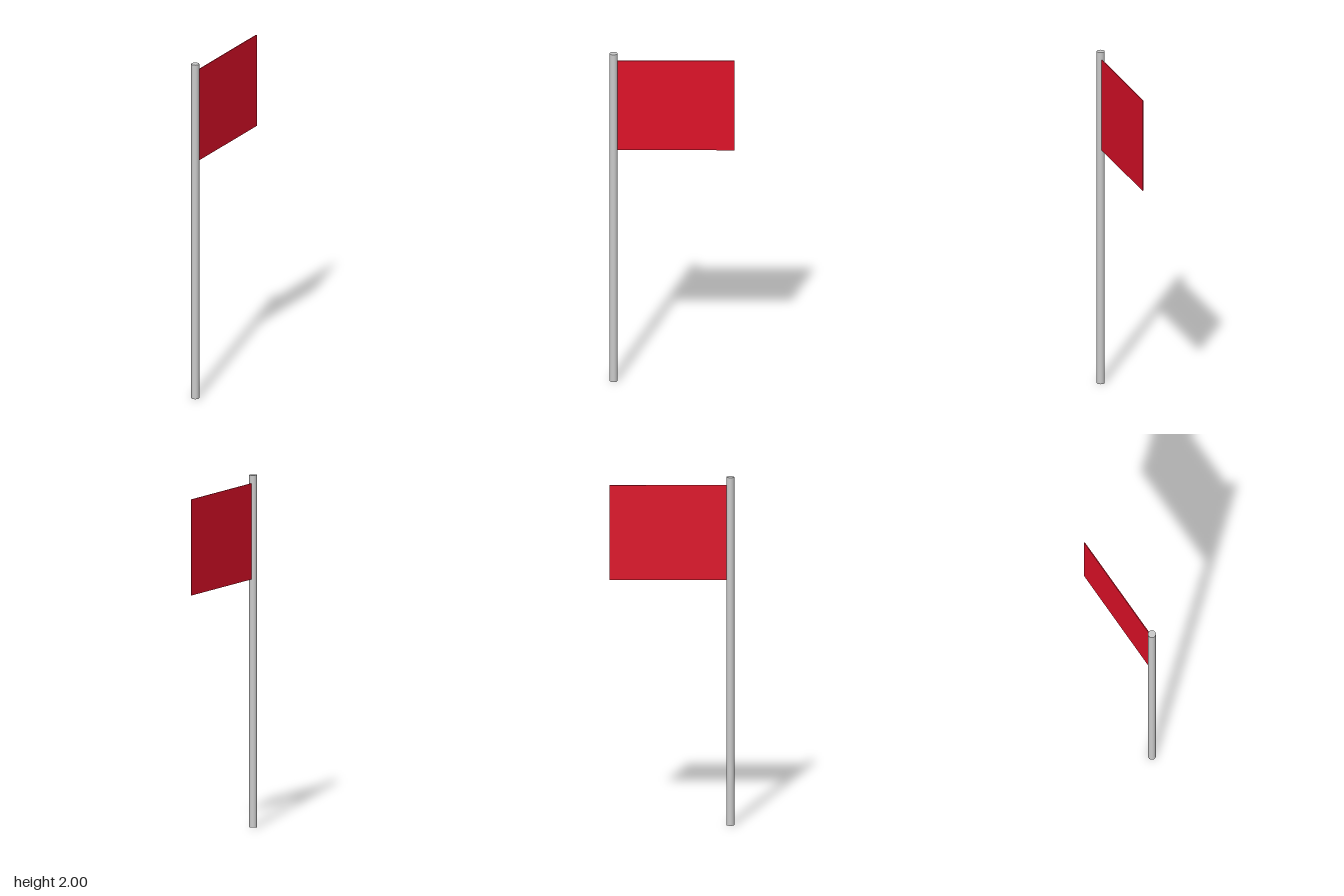
import * as THREE from 'three';

const POLE_RADIUS = 0.0225;
const POLE_HEIGHT = 2;
const HALF_DEPTH = 0.35;

export function createModel() {
  const group = new THREE.Group();
  group.name = 'flagOnPole';

  // Upright round pole at the front end
  const pole = new THREE.Mesh(
    new THREE.CylinderGeometry(POLE_RADIUS, POLE_RADIUS, POLE_HEIGHT, 24),
    new THREE.MeshStandardMaterial({ color: 0xcccccc })
  );
  pole.name = 'pole';
  pole.position.set(0, POLE_HEIGHT / 2, HALF_DEPTH - POLE_RADIUS);
  group.add(pole);

  // Thin flat flag running back from the pole
  const flagFront = HALF_DEPTH - 2 * POLE_RADIUS + 0.003;
  const flagBottom = 1.41;
  const flagTop = 1.955;
  const flag = new THREE.Mesh(
    new THREE.BoxGeometry(0.005, flagTop - flagBottom, flagFront + HALF_DEPTH),
    new THREE.MeshStandardMaterial({ color: 0xe01028 })
  );
  flag.name = 'flag';
  flag.position.set(0, (flagTop + flagBottom) / 2, (flagFront - HALF_DEPTH) / 2);
  group.add(flag);

  return group;
}
